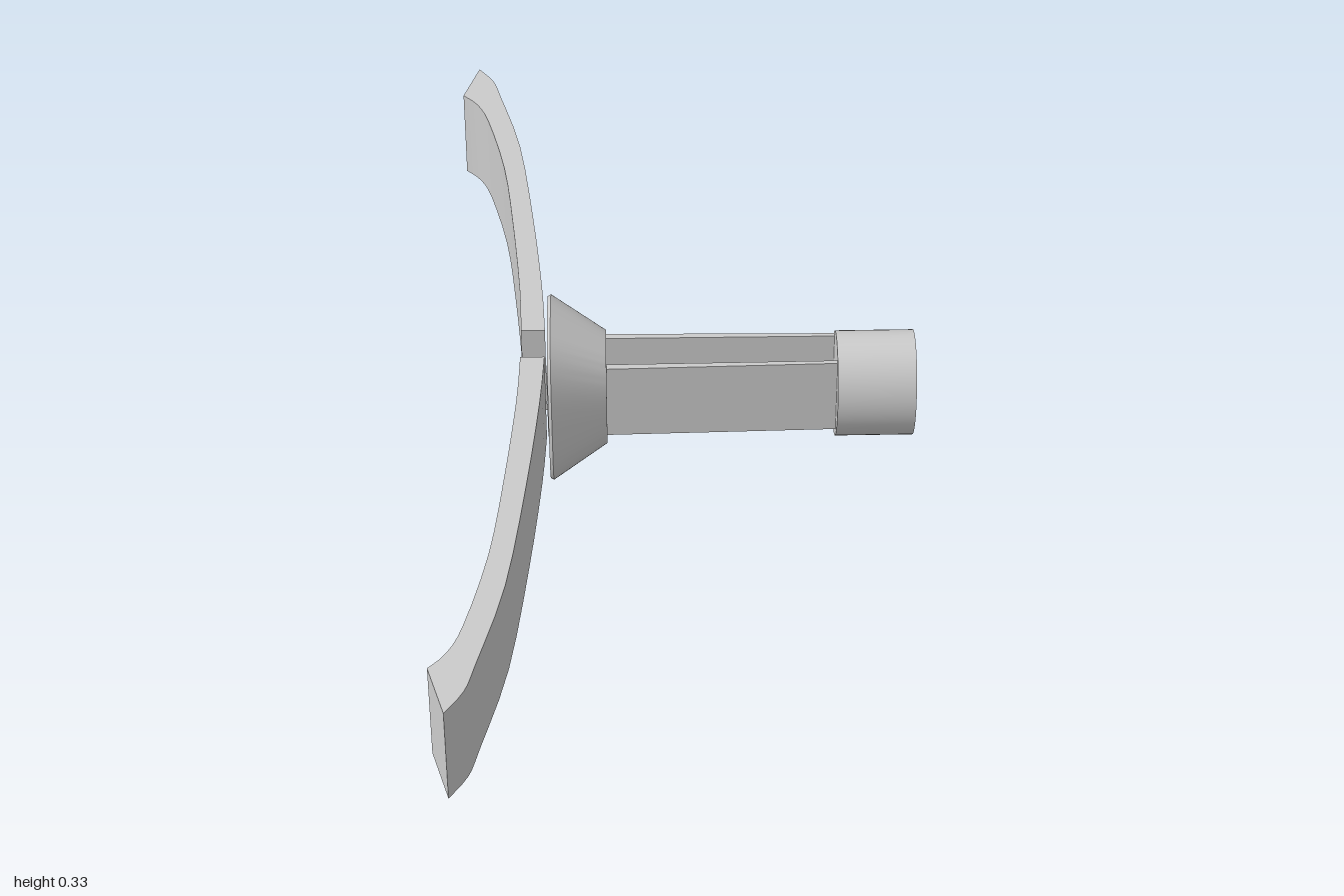
import * as THREE from 'three';
import { toCreasedNormals } from 'three/addons/utils/BufferGeometryUtils.js';

const material = new THREE.MeshStandardMaterial({ color: 0xcccccc, side: THREE.DoubleSide });
const MID_Y = 0.17, MID_Z = -0.004;

function addMesh(parent, name, geometry) {
  const mesh = new THREE.Mesh(geometry, material);
  mesh.name = name;
  parent.add(mesh);
  return mesh;
}

// Extrudes an outline of [x, z] points upward from y0 to y1
function plate(points, y0, y1) {
  const shape = new THREE.Shape(points.map(([x, z]) => new THREE.Vector2(x, -z)));
  const g = new THREE.ExtrudeGeometry(shape, { depth: y1 - y0, bevelEnabled: false });
  g.rotateX(-Math.PI / 2).translate(0, y0, 0);
  return toCreasedNormals(g, 0.45);
}

// Smooth curve through [x, z] points
function smooth(points, n) {
  const curve = new THREE.SplineCurve(points.map(p => new THREE.Vector2(...p)));
  return curve.getPoints(n).map(p => [p.x, p.y]);
}

// Closed ring lofted through rounded-rectangle sections [x, halfY, halfZ, roundness]
function ring(sections, segments) {
  const pos = [], index = [], m = sections.length;
  for (const [x, hy, hz, n] of sections) {
    for (let i = 0; i < segments; i++) {
      const a = (i / segments) * Math.PI * 2, c = Math.cos(a), s = Math.sin(a);
      pos.push(x,
        MID_Y + hy * Math.sign(c) * Math.abs(c) ** (2 / n),
        MID_Z + hz * Math.sign(s) * Math.abs(s) ** (2 / n));
    }
  }
  for (let j = 0; j < m; j++) {
    for (let i = 0; i < segments; i++) {
      const k = (i + 1) % segments, j2 = (j + 1) % m;
      const a = j * segments + i, b = j * segments + k;
      const c = j2 * segments + k, d = j2 * segments + i;
      index.push(a, b, c, a, c, d);
    }
  }
  const g = new THREE.BufferGeometry();
  g.setAttribute('position', new THREE.Float32BufferAttribute(pos, 3));
  g.setIndex(index);
  return toCreasedNormals(g, 0.6);
}

export function createModel() {
  const model = new THREE.Group();
  model.name = 'handleWithCurvedArms';

  // Two curved arms, mirrored front to back
  const outer = smooth([[-0.253, 0.042], [-0.26, 0.185], [-0.28, 0.425], [-0.31, 0.69],
    [-0.353, 0.885], [-0.37, 0.95], [-0.4, 1]], 18);
  const inner = smooth([[-0.43, 0.893], [-0.4, 0.855], [-0.375, 0.785], [-0.34, 0.61],
    [-0.32, 0.42], [-0.302, 0.185], [-0.297, 0.042]], 18);
  for (const [name, s] of [['frontArm', 1], ['backArm', -1]]) {
    addMesh(model, name, plate([...outer, ...inner].map(([x, z]) => [x, z * s]), 0.09, 0.272));
  }

  // Two thin tapering grip plates
  for (const [name, s] of [['frontGripPlate', 1], ['backGripPlate', -1]]) {
    const outline = [[-0.25, 0.058], [0.29, 0.048], [0.29, 0.039], [-0.25, 0.042]];
    addMesh(model, name, plate(outline.map(([x, z]) => [x, z * s + MID_Z]), 0.1, 0.249));
  }

  // Hollow flared collar
  addMesh(model, 'collar', ring([
    [-0.241, 0.167, 0.125, 3.2],
    [-0.141, 0.105, 0.08, 2.7],
    [-0.141, 0.09, 0.066, 2.7],
    [-0.225, 0.138, 0.098, 3.2],
    [-0.247, 0.15, 0.108, 3.2],
    [-0.247, 0.164, 0.122, 3.2],
  ], 64));

  // Oval end cap
  const cap = addMesh(model, 'endCap', new THREE.CylinderGeometry(1, 1, 0.144, 48));
  cap.geometry.rotateZ(-Math.PI / 2).scale(1, 0.104, 0.083);
  cap.position.set(0.353, MID_Y, MID_Z);

  return model;
}
